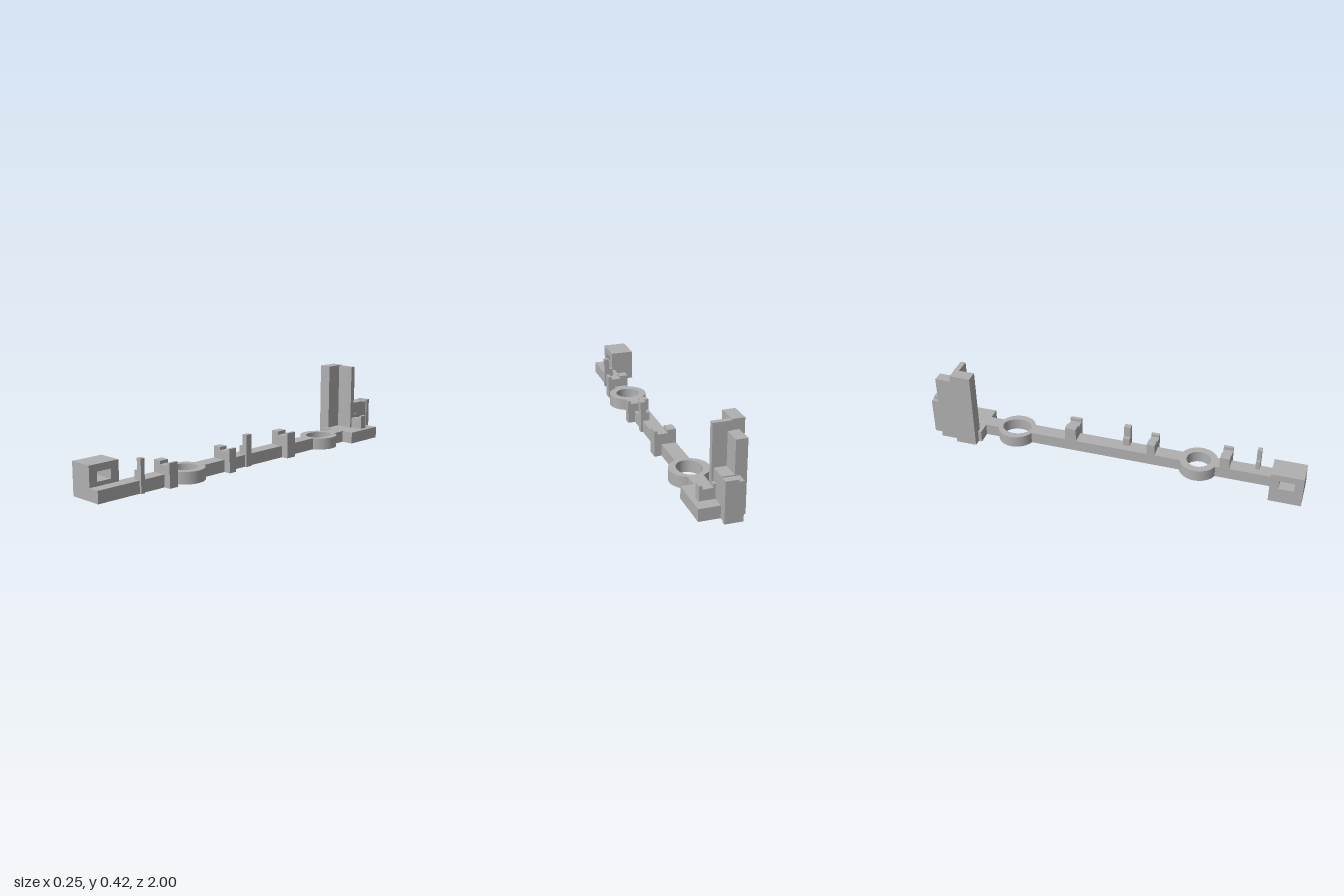
import * as THREE from 'three';

export function createModel() {
  const model = new THREE.Group();
  const grey = new THREE.MeshStandardMaterial({ color: 0xb0b0b0 });
  const H = 0.062; // height of the base

  const add = (name, geometry) => {
    const mesh = new THREE.Mesh(geometry, grey);
    mesh.name = name;
    model.add(mesh);
    return mesh;
  };
  // Box given by its limits on each axis
  const box = (name, x0, x1, y0, y1, z0, z1) =>
    add(name, new THREE.BoxGeometry(x1 - x0, y1 - y0, z1 - z0))
      .position.set((x0 + x1) / 2, (y0 + y1) / 2, (z0 + z1) / 2);
  const polygon = pts => new THREE.Shape(pts.map(p => new THREE.Vector2(...p)));
  const extrude = (shape, depth) =>
    new THREE.ExtrudeGeometry(shape, { depth, bevelEnabled: false, curveSegments: 32 });

  // Long bar with two rings, drawn in plan (shape y = -z)
  const L = -0.015, R = 0.06, cx = 0.02, ro = 0.1;
  const rings = [{ y: -0.45, rx: 0.0625, ry: 0.0625 }, { y: 0.55, rx: 0.0625, ry: 0.078 }];
  const aR = Math.acos((R - cx) / ro), aL = Math.acos((cx - L) / ro);
  const plan = new THREE.Shape();
  plan.moveTo(L, -1);
  plan.lineTo(R, -1);
  for (const r of rings) plan.absarc(cx, r.y, ro, -aR, aR, false);
  plan.lineTo(R, 0.73);
  plan.lineTo(L, 0.73);
  for (const r of [...rings].reverse()) plan.absarc(cx, r.y, ro, Math.PI - aL, Math.PI + aL, false);
  plan.closePath();
  for (const r of rings) {
    const hole = new THREE.Path();
    hole.absellipse(cx, r.y, r.rx, r.ry, 0, Math.PI * 2, true);
    plan.holes.push(hole);
  }
  add('ringedBar', extrude(plan, H).rotateX(-Math.PI / 2));

  // Front block with a window running through it sideways
  const side = polygon([[0.835, 0], [1, 0], [1, 0.165], [0.835, 0.165]]);
  side.holes.push(polygon([[0.88, 0.083], [0.88, 0.13], [0.957, 0.13], [0.957, 0.083]]));
  add('windowBlock', extrude(side, 0.125).rotateY(-Math.PI / 2));

  // Notched blocks straddling the bar
  const notched = (name, x0, top, notch, z0, z1) =>
    add(name, extrude(polygon([
      [x0, 0], [0.098, 0], [0.098, top], [0.081, top], [0.081, notch],
      [0.03, notch], [0.03, top], [x0, top],
    ]), z1 - z0)).position.z = z0;
  notched('notchedBlockFront', L, 0.123, 0.107, 0.565, 0.615);
  notched('notchedBlockMiddle', L, 0.123, 0.107, 0.18, 0.223);
  notched('notchedBlockBack', L, 0.135, 0.117, -0.265, -0.205);
  notched('notchedBlockPlate', 0.02, 0.135, 0.117, -0.878, -0.835);

  // Stepped posts at the side of the bar
  for (const [z0, z1] of [[0.742, 0.764], [0.042, 0.078]]) {
    add('steppedPost', extrude(polygon([
      [0.023, 0], [0.071, 0], [0.071, 0.167], [0.043, 0.167], [0.043, 0.106], [0.023, 0.106],
    ]), z1 - z0)).position.z = z0;
  }

  // Rear plate and its cluster of towers
  box('rearPlate', -0.085, 0.125, 0, H, -0.943, -0.717);
  box('tallTower', -0.123, -0.06, 0, 0.417, -0.845, -0.735);
  box('slabTower', -0.06, 0.03, 0, 0.413, -0.85, -0.823);
  box('rearTower', -0.097, -0.04, 0, 0.365, -0.943, -0.845);
  box('lowTower', -0.04, 0.02, 0, 0.2, -0.943, -0.85);
  box('endBlock', -0.063, 0.02, 0, 0.195, -1, -0.943);
  box('endRidge', -0.037, 0.026, 0, 0.205, -1, -0.978);

  return model;
}
